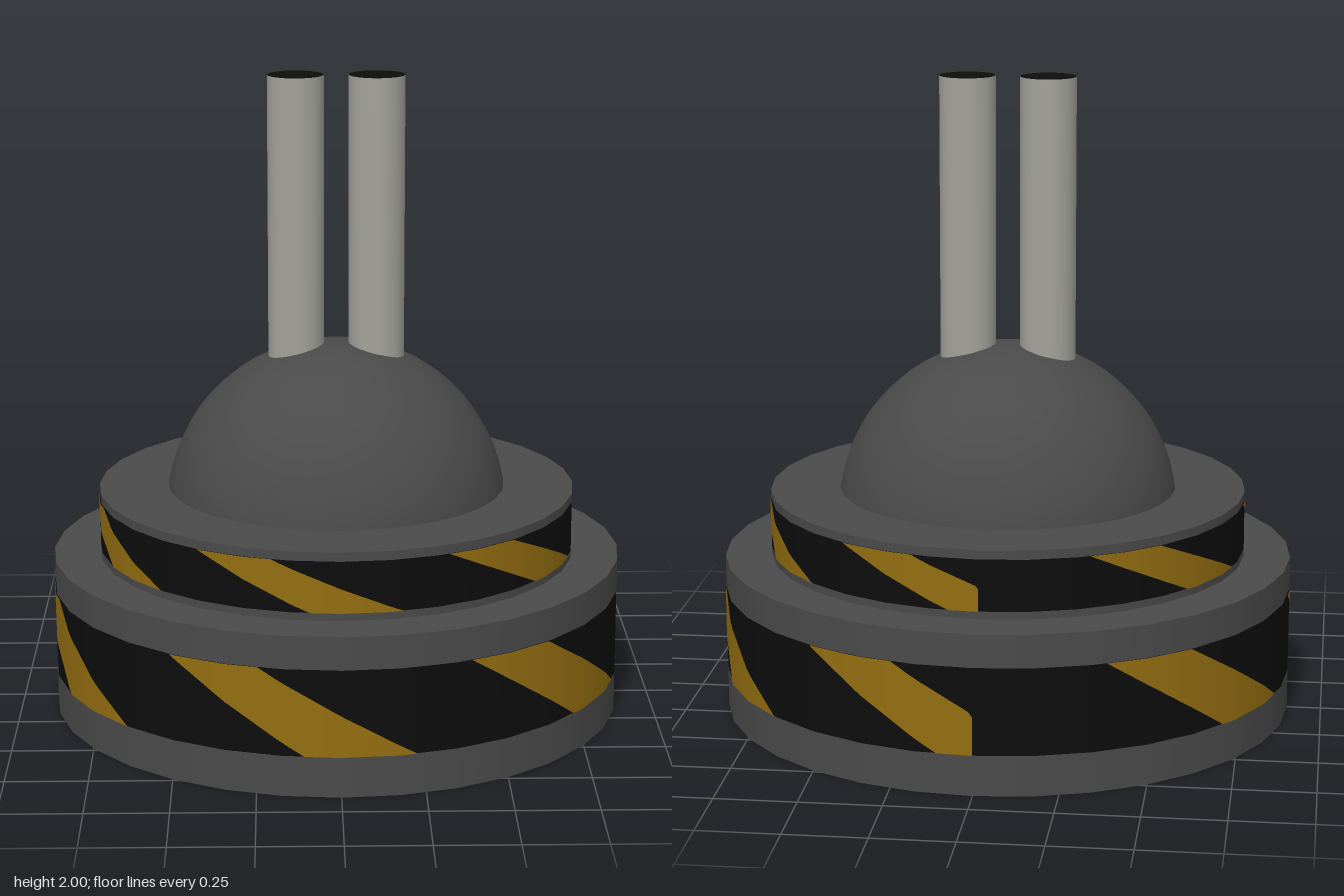
import * as THREE from 'three';

const SIDES = 32;
const DEG = Math.PI / 180;

function material(name, color) {
  const m = new THREE.MeshStandardMaterial({ color });
  m.name = name;
  return m;
}

// Radius of the many-sided drum wall at a given angle
function wallRadius(r, a) {
  const step = (2 * Math.PI) / SIDES;
  const local = a - (Math.floor(a / step) + 0.5) * step;
  return (r * Math.cos(step / 2)) / Math.cos(local);
}

// Slanted stripe hugging the drum wall; angles in degrees from +z towards +x
function stripeGeometry(r, y0, y1, top, bottom) {
  const n = 16;
  const geo = new THREE.PlaneGeometry(1, 1, n, n);
  const pos = geo.attributes.position;
  const nor = geo.attributes.normal;
  for (let i = 0; i < pos.count; i++) {
    const u = pos.getX(i) + 0.5;
    const v = pos.getY(i) + 0.5;
    const left = THREE.MathUtils.lerp(bottom[0], top[0], v);
    const right = THREE.MathUtils.lerp(bottom[1], top[1], v);
    const a = Math.min(THREE.MathUtils.lerp(left, right, u), 180) * DEG;
    const d = wallRadius(r, a) + 0.003;
    pos.setXYZ(i, d * Math.sin(a), THREE.MathUtils.lerp(y0, y1, v), d * Math.cos(a));
    nor.setXYZ(i, Math.sin(a), 0, Math.cos(a));
  }
  return geo;
}

export function createModel() {
  const model = new THREE.Group();
  model.name = 'stripedDomeWithPipes';

  const grey = material('dark grey', 0x4a4a4a);
  const black = material('black', 0x0d0d0d);
  const yellow = material('hazard yellow', 0x936d10);
  const steel = material('light steel', 0xa3a39b);

  function add(parent, name, geo, mat, x = 0, y = 0, z = 0) {
    const mesh = new THREE.Mesh(geo, mat);
    mesh.name = name;
    mesh.position.set(x, y, z);
    parent.add(mesh);
    return mesh;
  }

  function wall(parent, name, r, y0, y1, mat) {
    const geo = new THREE.CylinderGeometry(r, r, y1 - y0, SIDES, 1, true);
    add(parent, name, geo, mat, 0, (y0 + y1) / 2, 0);
  }

  // Drum: grey rims, a black band and six yellow stripes
  function drum(name, r, y0, b0, b1, y1) {
    const group = new THREE.Group();
    group.name = name;
    wall(group, 'lowerRim', r, y0, b0, grey);
    wall(group, 'band', r, b0, b1, black);
    wall(group, 'upperRim', r, b1, y1, grey);
    const disc = new THREE.CircleGeometry(r, SIDES);
    add(group, 'topFace', disc, grey, 0, y1, 0).rotation.x = -Math.PI / 2;
    add(group, 'bottomFace', disc, grey, 0, y0, 0).rotation.x = Math.PI / 2;
    for (let k = 0; k < 6; k++) {
      const s = -154.5 + 60 * k;
      add(group, 'stripe', stripeGeometry(r, b0, b1, [s, s + 18.5], [s + 27.5, s + 49]), yellow);
    }
    model.add(group);
  }

  drum('baseDrum', 0.893, 0, 0.125, 0.393, 0.495);
  drum('upperDrum', 0.747, 0.495, 0.518, 0.677, 0.705);

  // Dome sunk a little into the upper drum
  const dome = new THREE.SphereGeometry(0.535, SIDES, 16, 0, Math.PI * 2, 0, Math.PI * 0.55);
  add(model, 'dome', dome, grey, 0, 0.628, 0);

  // Pair of upright pipes with dark open ends
  for (const side of [-1, 1]) {
    const r = 0.087;
    const pipe = new THREE.CylinderGeometry(r, r, 1, 32, 1, true);
    add(model, 'pipe', pipe, steel, side * 0.125, 1.5, 0);
    const end = new THREE.CircleGeometry(r, 32);
    add(model, 'pipeEnd', end, black, side * 0.125, 2, 0).rotation.x = -Math.PI / 2;
  }

  return model;
}
